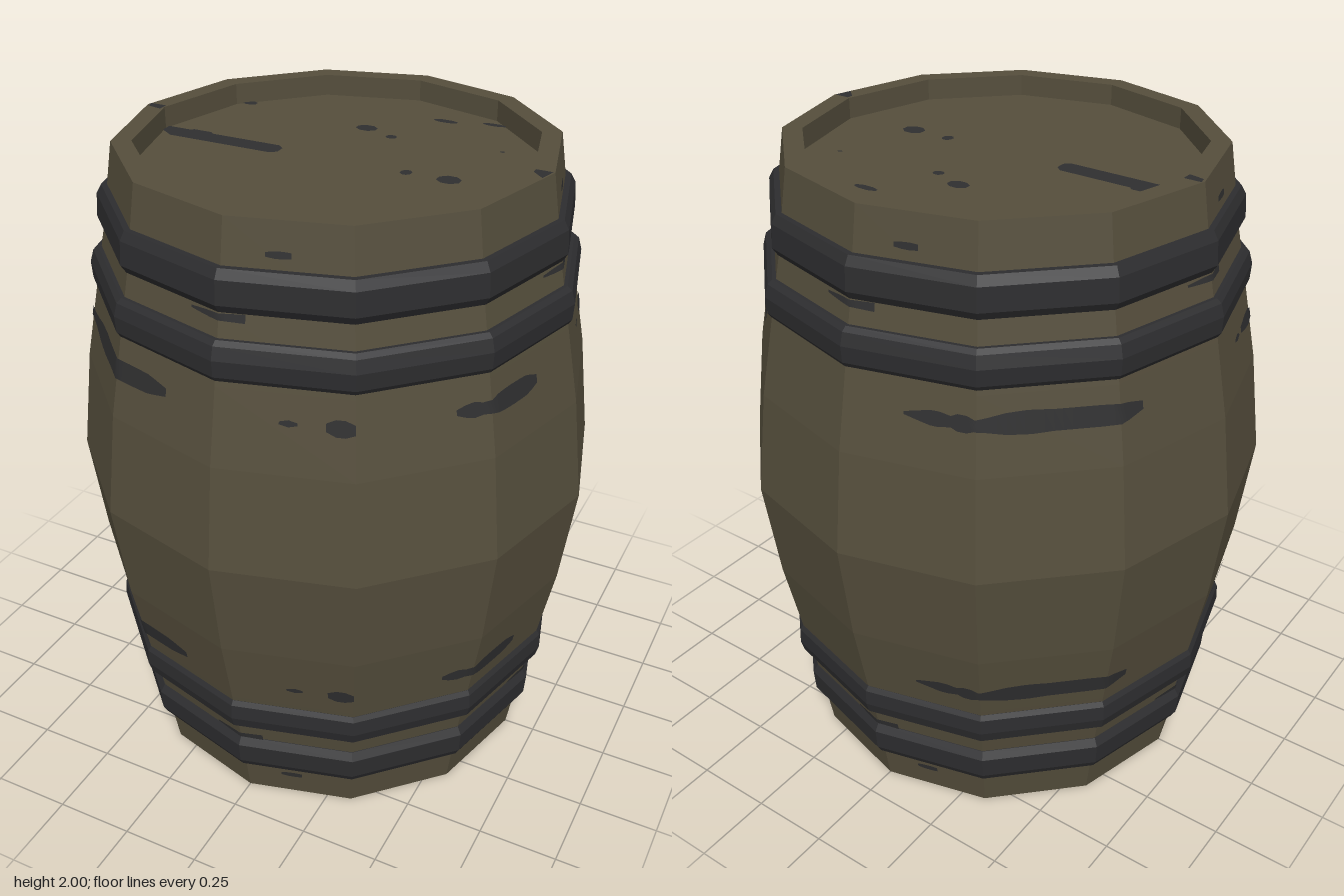
import * as THREE from 'three';

const SIDES = 12;
const wood = new THREE.MeshStandardMaterial({ color: 0x554e3c });
const iron = new THREE.MeshStandardMaterial({ color: 0x2d2d2f });
const grime = new THREE.MeshStandardMaterial({ color: 0x2f2f30 });
wood.name = 'oldWood';
iron.name = 'darkIron';
grime.name = 'darkStain';

// Upper half of the stave profile, from the belly to the rim: [radius, y]
const STAVES = [[0.815, 1], [0.775, 1.32], [0.73, 1.55], [0.69, 1.75], [0.65, 2]];
const LID = 1.935;
const RIM = 0.59;

const flipY = (pts) => pts.map(([r, y]) => [r, 2 - y]).reverse();

// Faceted twelve-sided turning from a profile that runs bottom to top
function turned(name, pts, material) {
  const lathe = new THREE.LatheGeometry(pts.map(([r, y]) => new THREE.Vector2(r, y)), SIDES);
  const geo = lathe.toNonIndexed();
  geo.computeVertexNormals();
  const mesh = new THREE.Mesh(geo, material);
  mesh.name = name;
  return mesh;
}

// Point lying just above the faceted stave surface
function onStaves(deg, y, lift = 0.004) {
  const h = 1 + Math.abs(y - 1);
  let i = 0;
  while (i < STAVES.length - 2 && h > STAVES[i + 1][1]) i++;
  const [r0, y0] = STAVES[i], [r1, y1] = STAVES[i + 1];
  const corner = r0 + (r1 - r0) * (h - y0) / (y1 - y0);
  const step = 360 / SIDES;
  const off = ((deg % step) + step) % step - step / 2;
  const rad = THREE.MathUtils.degToRad;
  const r = corner * Math.cos(rad(step / 2)) / Math.cos(rad(off)) + lift;
  return [r * Math.sin(rad(deg)), y, r * Math.cos(rad(deg))];
}

// Thin stain wrapped on the staves; heights are half-heights along its length
function sideStain(from, to, y, heights) {
  const pos = [], idx = [];
  const n = Math.round((to - from) / 2);
  for (let k = 0; k <= n; k++) {
    const u = k / n * (heights.length - 1);
    const i = Math.min(Math.floor(u), heights.length - 2);
    const h = heights[i] + (heights[i + 1] - heights[i]) * (u - i);
    const deg = from + 2 * k;
    pos.push(...onStaves(deg, y - h), ...onStaves(deg, y + h));
    if (k < n) {
      const a = 2 * k;
      idx.push(a, a + 2, a + 1, a + 1, a + 2, a + 3);
    }
  }
  const geo = new THREE.BufferGeometry();
  geo.setAttribute('position', new THREE.Float32BufferAttribute(pos, 3));
  geo.setIndex(idx);
  geo.computeVertexNormals();
  const mesh = new THREE.Mesh(geo, grime);
  mesh.name = 'staveStain';
  return mesh;
}

// Flat stain lying on the lid or rim, outlined in x, z
function flatStain(pts, y) {
  const shape = new THREE.Shape(pts.map(([x, z]) => new THREE.Vector2(x, -z)));
  const mesh = new THREE.Mesh(new THREE.ShapeGeometry(shape).rotateX(-Math.PI / 2), grime);
  mesh.position.y = y;
  mesh.name = 'lidStain';
  return mesh;
}

function spot(x, z, rx, rz) {
  const pts = [];
  for (let i = 0; i < 8; i++) {
    const a = (i + 0.5) * Math.PI / 4;
    pts.push([x + rx * Math.cos(a), z + rz * Math.sin(a)]);
  }
  return flatStain(pts, LID + 0.003);
}

// Stains of one barrel end
function lidStains() {
  const g = new THREE.Group();
  g.name = 'lidStains';
  g.add(
    flatStain([[-0.585, -0.012], [-0.51, -0.012], [-0.5, -0.02], [-0.44, -0.02], [-0.43, -0.01],
      [-0.2, -0.01], [-0.18, 0.008], [-0.18, 0.04], [-0.2, 0.055], [-0.54, 0.055], [-0.585, 0.025]], LID + 0.003),
    flatStain([[-0.645, -0.012], [-0.592, -0.012], [-0.592, 0.022], [-0.64, 0.012]], 2.001),
    flatStain([[0.595, 0], [0.645, 0], [0.632, 0.055], [0.595, 0.02]], 2.001),
  );
  const spots = [[0.225, 0.025, 0.018, 0.02], [0.355, 0.025, 0.037, 0.031], [-0.035, -0.265, 0.035, 0.026],
    [0.065, -0.225, 0.018, 0.016], [0.157, -0.43, 0.042, 0.014], [0.305, -0.463, 0.04, 0.012],
    [-0.475, -0.318, 0.026, 0.018], [0.41, -0.25, 0.008, 0.006]];
  spots.forEach((s) => g.add(spot(...s)));
  return g;
}

export function createModel() {
  const model = new THREE.Group();
  model.name = 'barrel';

  // Body with a recessed lid at both ends
  const upper = [...STAVES, [RIM, 2], [RIM, LID], [0, LID]];
  model.add(turned('barrelBody', [...flipY(upper), ...upper.slice(1)], wood));

  // Two chamfered hoops near each end
  const hoops = {
    InnerHoop: [[0.7, 1.565], [0.728, 1.565], [0.738, 1.58], [0.741, 1.63], [0.73, 1.668], [0.715, 1.68], [0.68, 1.68]],
    OuterHoop: [[0.66, 1.75], [0.692, 1.75], [0.708, 1.775], [0.703, 1.845], [0.688, 1.872], [0.65, 1.872]],
  };
  for (const [name, pts] of Object.entries(hoops)) {
    model.add(turned('upper' + name, pts, iron), turned('lower' + name, flipY(pts), iron));
  }

  // Stains around the staves: start angle, end angle, y, half-heights
  const longBar = [0.01, 0.024, 0.012, 0.018, 0.03, 0.034, 0.03, 0.03, 0.03, 0.028, 0.012];
  const shortBar = [0.008, 0.024, 0.015, 0.028, 0.03, 0.03, 0.028, 0.012];
  const dot = [0.004, 0.01, 0.004];
  const blob = [0.012, 0.024, 0.024, 0.014];
  const stains = [[-70, -14, 1.47, longBar], [52, 76, 1.47, shortBar], [196, 246, 1.47, longBar],
    [120, 126, 1.465, blob], [128, 134, 1.47, blob]];
  for (let q = 0; q < 360; q += 90) {
    stains.push([q + 14, q + 18, 1.47, dot], [q + 24, q + 30, 1.47, blob]);
    stains.push([q - 8, q + 6, 1.738, [0.003, 0.008, 0.01, 0.012]]);
    stains.push([q + 10, q + 16, 1.912, [0.006, 0.011, 0.008]]);
  }
  for (const [from, to, y, heights] of stains) {
    model.add(sideStain(from, to, y, heights), sideStain(from, to, 2 - y, heights));
  }

  // Stains on both ends
  const bottom = lidStains();
  bottom.rotation.x = Math.PI;
  bottom.position.y = 2;
  model.add(lidStains(), bottom);
  return model;
}
